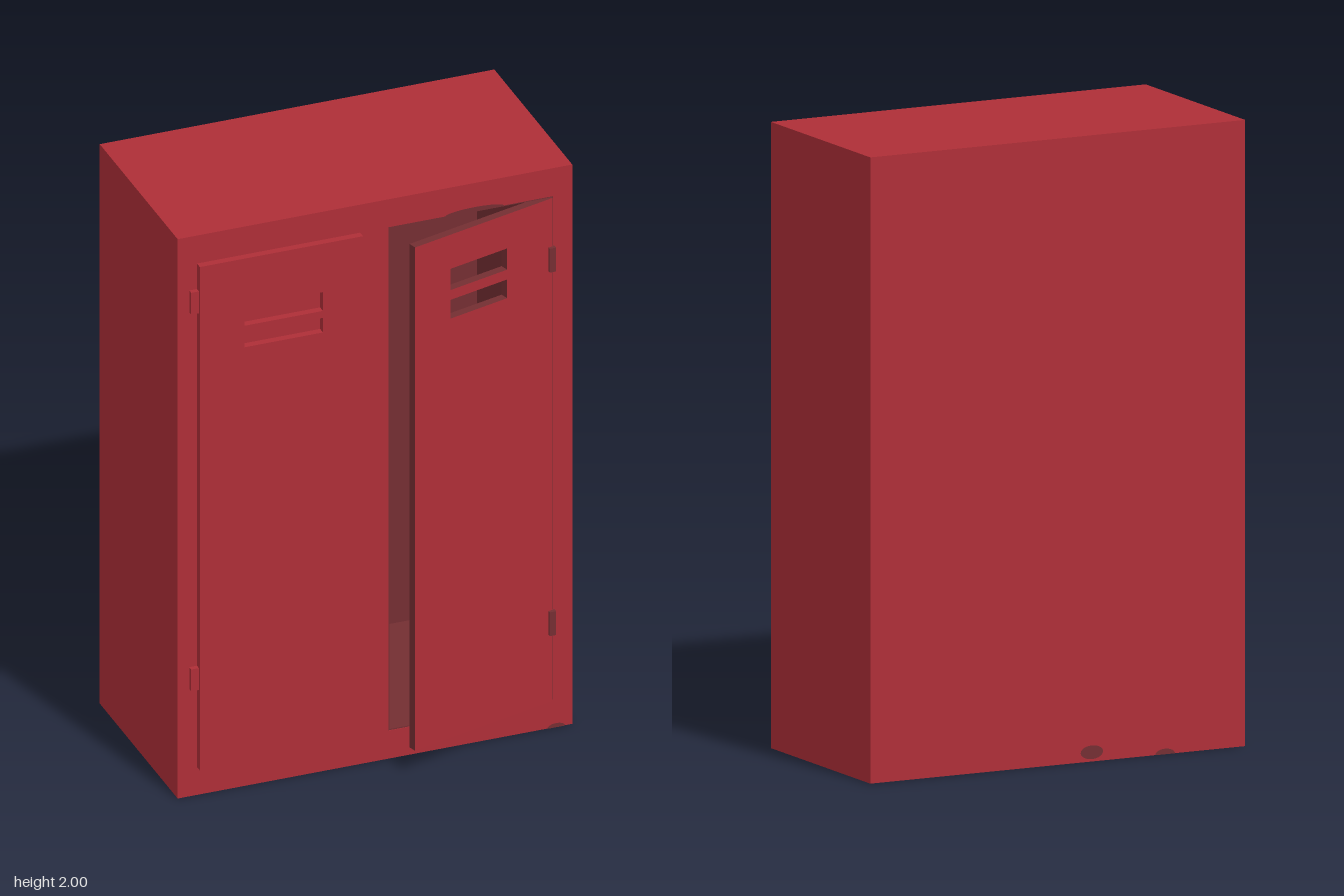
import * as THREE from 'three';

const red = new THREE.MeshStandardMaterial({ color: 0xae2e37 });
red.name = 'red paint';
const dark = new THREE.MeshStandardMaterial({ color: 0x742e32 });
dark.name = 'dark worn metal';

function add(parent, name, geometry, material, x = 0, y = 0, z = 0) {
  const mesh = new THREE.Mesh(geometry, material);
  mesh.name = name;
  mesh.position.set(x, y, z);
  parent.add(mesh);
  return mesh;
}

function rect(target, x0, x1, y0, y1) {
  target.moveTo(x0, y0);
  target.lineTo(x1, y0);
  target.lineTo(x1, y1);
  target.lineTo(x0, y1);
  target.closePath();
  return target;
}

// Rectangular sheet with rectangular holes, from z = 0 to z = depth
function sheet(outline, holes, depth) {
  const shape = rect(new THREE.Shape(), ...outline);
  for (const h of holes) shape.holes.push(rect(new THREE.Path(), ...h));
  return new THREE.ExtrudeGeometry(shape, { depth, bevelEnabled: false });
}

// Thin oval patch, or its upper half
function patch(parent, x, y, z, rx, ry, half, flip) {
  const shape = new THREE.Shape();
  shape.absellipse(0, 0, rx, ry, 0, half ? Math.PI : Math.PI * 2, false);
  const mesh = add(parent, 'wornPatch', new THREE.ShapeGeometry(shape, 10), dark, x, y, z);
  if (flip) mesh.rotation.y = Math.PI;
}

export function createModel() {
  const model = new THREE.Group();
  model.name = 'locker';
  const back = -0.407, front = 0.26;
  const opening = [0.045, 0.6, 0.1, 1.9];

  // Cabinet body with one open compartment
  add(model, 'cabinet', sheet([-0.665, 0.665, 0, 2], [opening], front - back - 0.02), red, 0, 0, back + 0.02);
  add(model, 'backPanel', new THREE.BoxGeometry(1.33, 2, 0.02), red, 0, 1, back + 0.01);

  // Dark lining of the compartment
  const inner = [0.049, 0.596, 0.104, 1.896];
  add(model, 'compartmentLining', sheet(opening, [inner], 0.643), dark, 0, 0, back + 0.022);
  add(model, 'compartmentBack', new THREE.BoxGeometry(0.555, 1.8, 0.006), dark, 0.3225, 1, back + 0.024);

  // Closed door
  const closedSlots = [[-0.45, -0.185, 1.66, 1.727], [-0.45, -0.185, 1.583, 1.635]];
  add(model, 'closedDoor', sheet([-0.6, -0.05, 0.1, 1.9], closedSlots, 0.025), red, 0, 0, front);

  // Open door, swung about its outer front edge
  const openDoor = new THREE.Group();
  openDoor.name = 'openDoor';
  openDoor.position.set(0.597, 0, 0.262);
  openDoor.rotation.y = THREE.MathUtils.degToRad(15.4);
  const outline = [-0.538, 0, 0.095, 1.895];
  const openSlots = [[-0.4, -0.177, 1.697, 1.773], [-0.4, -0.177, 1.595, 1.662]];
  add(openDoor, 'doorPanel', sheet(outline, openSlots, 0.025), [red, dark], 0, 0, -0.025);
  add(openDoor, 'doorLining', sheet(outline, openSlots, 0.004), dark, 0, 0, -0.029);
  model.add(openDoor);

  // Hinges
  for (const y of [0.423, 1.77])
    add(model, 'closedDoorHinge', new THREE.BoxGeometry(0.028, 0.078, 0.018), red, -0.612, y, front + 0.008);
  for (const y of [0.38, 1.68])
    add(model, 'openDoorHinge', new THREE.BoxGeometry(0.022, 0.085, 0.022), dark, 0.594, y, front + 0.004);

  // Small worn patches
  patch(model, 0.335, 1.9, front + 0.002, 0.1, 0.015, true, false);
  patch(model, 0.61, 0, front + 0.002, 0.03, 0.015, true, false);
  patch(model, -0.12, 0.03, back - 0.002, 0.04, 0.022, false, true);
  patch(model, -0.38, 0, back - 0.002, 0.035, 0.018, true, true);

  return model;
}
